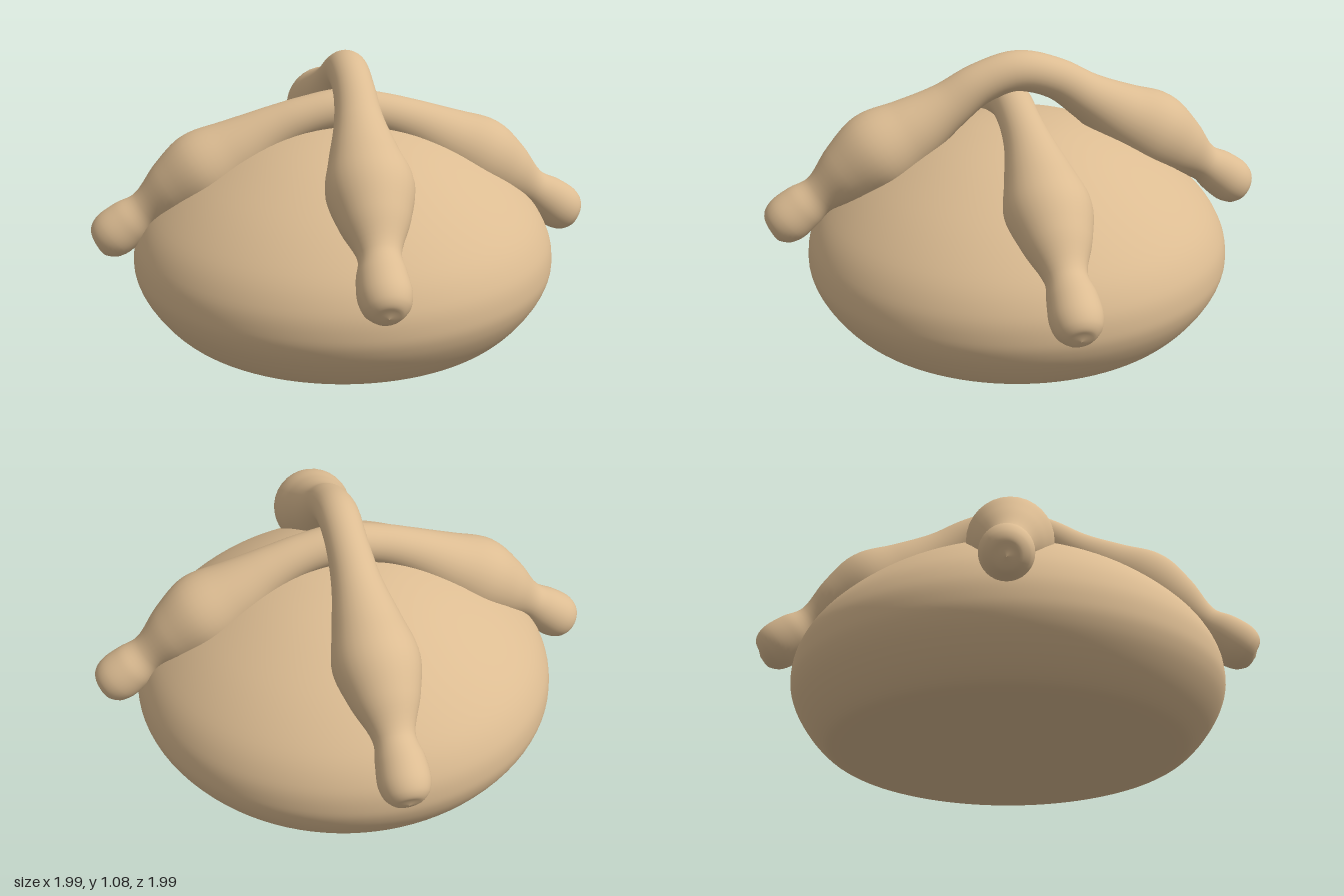
import * as THREE from 'three';

const dough = new THREE.MeshStandardMaterial({ color: 0xdcbc92 });
dough.name = 'baked dough';

// Half of a strand, from the middle outward: distance, height, radius, sideways offset
const archedHalf = [
  [0, 1.0, 0.08, 0.02], [0.15, 0.96, 0.08, 0.02], [0.28, 0.875, 0.095, 0.015],
  [0.42, 0.785, 0.132, 0.01], [0.55, 0.71, 0.161, 0.008], [0.67, 0.63, 0.127, 0.004],
  [0.775, 0.555, 0.078, 0], [0.845, 0.505, 0.09, -0.005], [0.905, 0.46, 0.095, -0.005],
  [0.945, 0.43, 0.081, -0.005], [0.968, 0.414, 0.05, -0.005], [0.976, 0.41, 0.001, -0.005],
];
const lowHalf = archedHalf.map(([s, y, r, o], i) =>
  [s, [0.86, 0.835, 0.785, 0.705, 0.63, 0.555][i] ?? y - 0.07, r, o]);

// Sweeps a round section of varying radius along a mirrored spine
function strandGeometry(half, side) {
  const mirrored = half.slice(1).reverse().map(([s, y, r, o]) => [-s, y, r, o]);
  const rows = [...mirrored, ...half];
  const spine = new THREE.CatmullRomCurve3(rows.map(([s, y, , o]) => new THREE.Vector3(s, y, o * side)));
  const radii = new THREE.SplineCurve(rows.map(([s, , r]) => new THREE.Vector2(s, r)));
  const rings = (rows.length - 1) * 6, sides = 32;
  const positions = [], index = [];
  for (let i = 0; i <= rings; i++) {
    const t = i / rings;
    const c = spine.getPoint(t), d = spine.getTangent(t);
    const r = Math.max(0.001, radii.getPoint(t).y);
    const len = Math.hypot(d.x, d.y);
    for (let j = 0; j < sides; j++) {
      const a = (j / sides) * Math.PI * 2;
      const up = r * Math.cos(a);
      positions.push(c.x - (up * d.y) / len, c.y + (up * d.x) / len, c.z + r * Math.sin(a));
      if (i === rings) continue;
      const p = i * sides + j, q = i * sides + ((j + 1) % sides);
      index.push(p, q, p + sides, q, q + sides, p + sides);
    }
  }
  const geometry = new THREE.BufferGeometry();
  geometry.setAttribute('position', new THREE.Float32BufferAttribute(positions, 3));
  geometry.setIndex(index);
  geometry.computeVertexNormals();
  return geometry;
}

export function createModel() {
  const group = new THREE.Group();
  group.name = 'sweet bread';
  const add = (name, geometry) => {
    const mesh = new THREE.Mesh(geometry, dough);
    mesh.name = name;
    group.add(mesh);
    return mesh;
  };

  // Domed loaf
  const profile = new THREE.SplineCurve([
    [0.64, 0.005], [0.69, 0.018], [0.74, 0.06], [0.79, 0.125], [0.826, 0.195], [0.838, 0.265],
    [0.82, 0.36], [0.75, 0.47], [0.6, 0.602], [0.4, 0.718], [0.2, 0.785], [0, 0.807],
  ].map(([r, y]) => new THREE.Vector2(r, y)));
  const points = profile.getPoints(60);
  points[60].x = 0;
  add('loaf', new THREE.LatheGeometry(points, 96));

  // Flat underside
  const base = add('loafBase', new THREE.CircleGeometry(0.64, 96));
  base.rotation.x = Math.PI / 2;
  base.position.y = 0.005;

  // Two crossed bone-shaped strands
  add('lowerStrand', strandGeometry(lowHalf, 1));
  add('upperStrand', strandGeometry(archedHalf, -1)).rotation.y = -Math.PI / 2;

  return group;
}
